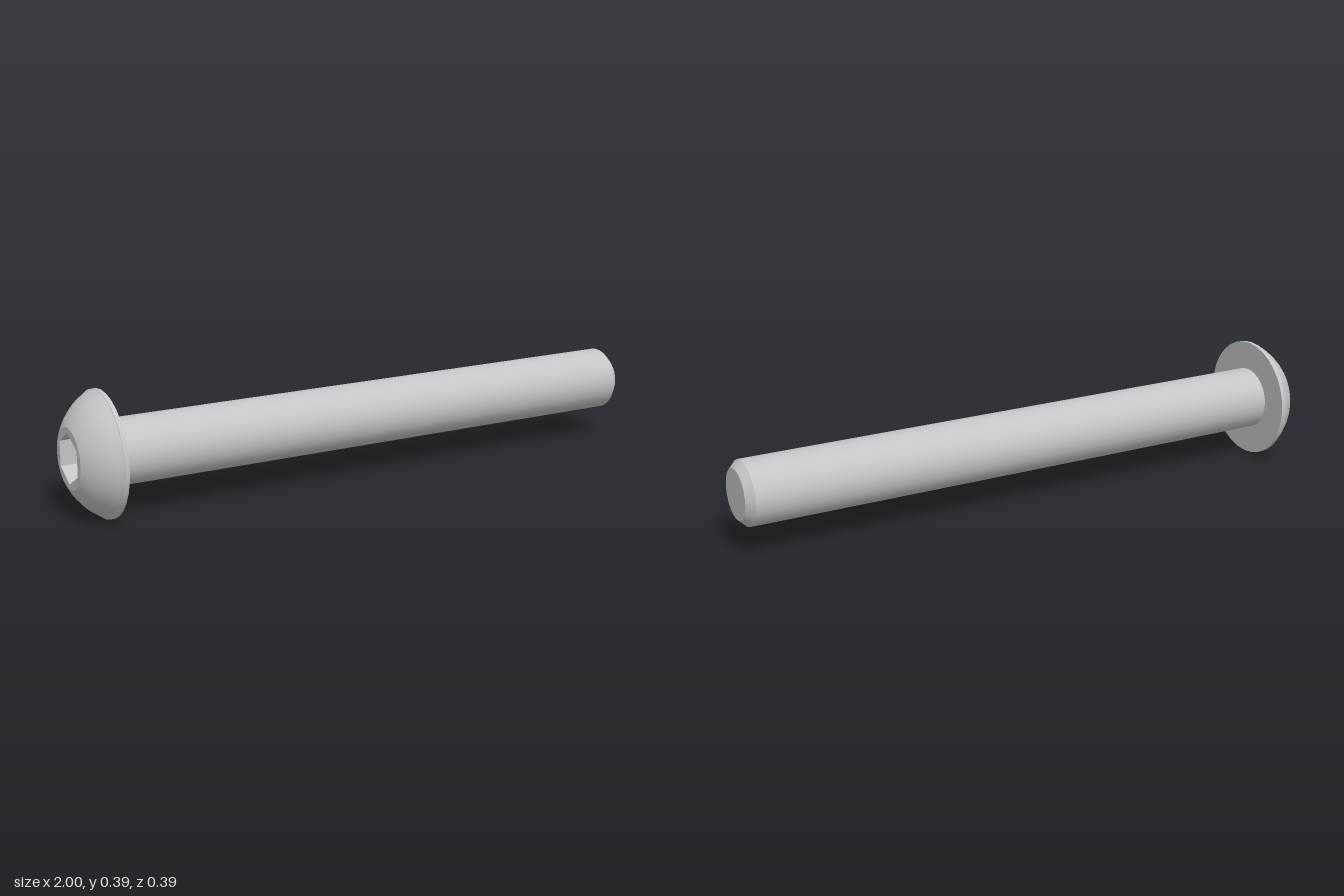
import * as THREE from 'three';
import { toCreasedNormals } from 'three/addons/utils/BufferGeometryUtils.js';

const SIDES = 32;
const AXIS_Y = 0.197;
const RIM = 0.095;      // radius of the flat ring around the socket
const SOCKET = 0.079;   // socket corner radius

// Revolves [radius, x] points around the bolt's axis, which runs along x.
function turned(points, sides = SIDES, start = 0) {
  const profile = points.map(([r, x]) => new THREE.Vector2(r, x));
  const geometry = new THREE.LatheGeometry(profile, sides, start);
  geometry.rotateZ(-Math.PI / 2);
  return toCreasedNormals(geometry, 0.42);
}

// Corner points of a regular polygon, with one corner straight up.
function polygon(radius, sides) {
  return Array.from({ length: sides }, (_, i) => {
    const a = Math.PI / 2 + (i / sides) * Math.PI * 2;
    return new THREE.Vector2(radius * Math.cos(a), radius * Math.sin(a));
  });
}

export function createModel() {
  const steel = new THREE.MeshStandardMaterial({ color: 0xc4c5c8 });
  steel.name = 'steel';
  const bolt = new THREE.Group();
  bolt.name = 'buttonHeadBolt';

  const add = (name, geometry) => {
    const mesh = new THREE.Mesh(geometry, steel);
    mesh.name = name;
    mesh.position.y = AXIS_Y;
    bolt.add(mesh);
  };

  // Domed head: a spherical arc, a thin straight rim and a flat underside
  const centre = -0.8, radius = 0.2214;
  const from = Math.asin(RIM / radius), to = Math.asin(0.195 / radius);
  const head = [];
  for (let i = 0; i <= 8; i++) {
    const a = from + (to - from) * (i / 8);
    head.push([radius * Math.sin(a), centre - radius * Math.cos(a)]);
  }
  head.push([0.197, -0.904], [0.197, -0.89], [0.1, -0.89]);
  add('head', turned(head));

  // Flat ring on top of the head, cut by the hexagonal socket
  const ring = new THREE.Shape(polygon(RIM, SIDES));
  ring.holes.push(new THREE.Path(polygon(SOCKET, 6)));
  const ringGeometry = new THREE.ShapeGeometry(ring);
  ringGeometry.rotateY(-Math.PI / 2);
  ringGeometry.translate(-1, 0, 0);
  add('headRing', ringGeometry);

  // Socket floor and its six inward-facing walls
  add('socket', turned([[0, -0.93], [SOCKET, -0.93], [SOCKET, -1]], 6, Math.PI / 6));

  // Plain shaft with a chamfered end
  add('shaft', turned([[0.103, -0.89], [0.103, 0.976], [0.08, 1], [0, 1]]));

  return bolt;
}
